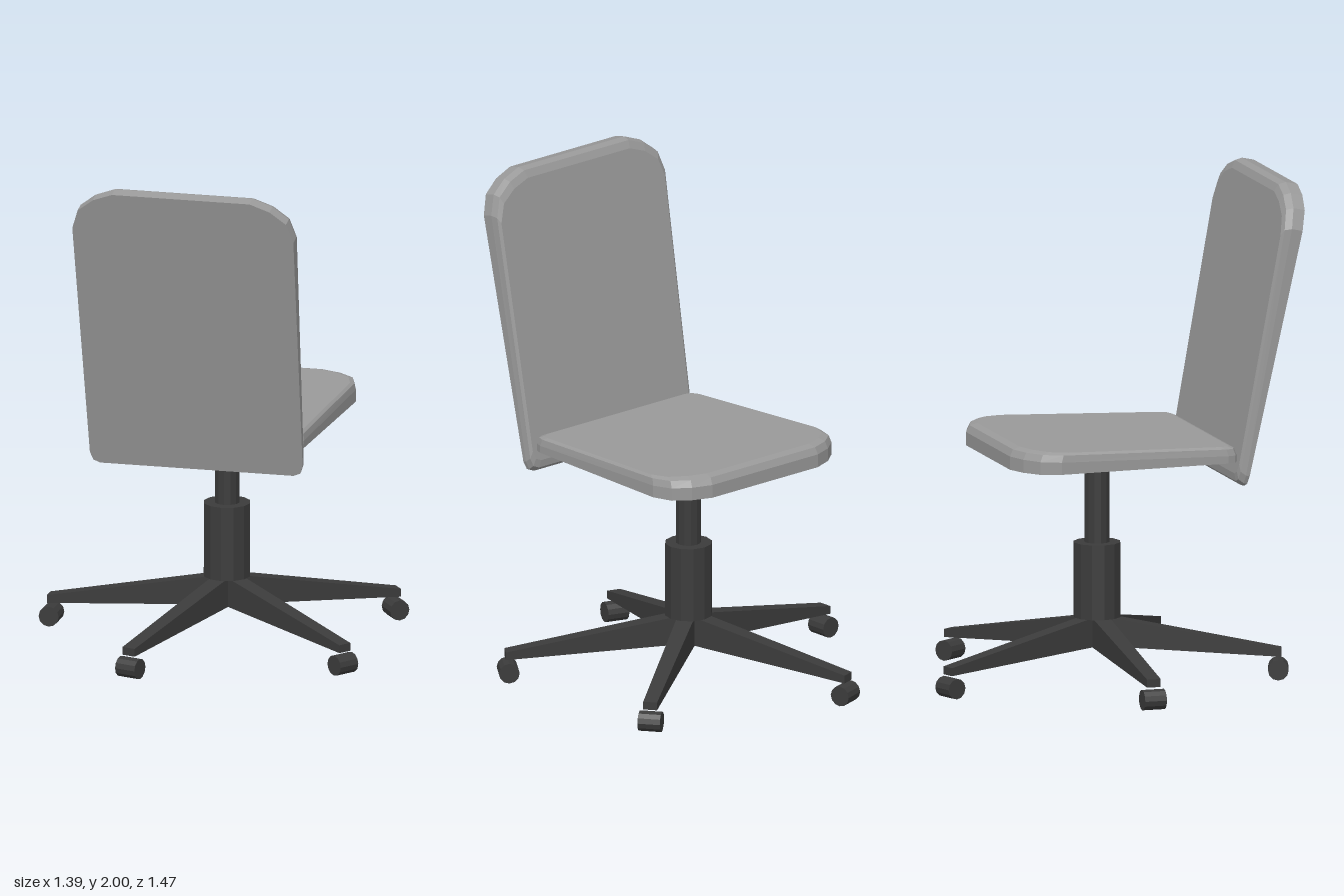
import * as THREE from 'three';

const CX = 0.055; // the whole chair sits slightly to its left
const lerp = THREE.MathUtils.lerp;

// Half outline of a cushion: tapered sides, small lower corners, large chamfered upper corners
function outline(w0, w1, L) {
  const half = [
    [w0 - 0.04, 0], [w0 - 0.012, 0.012], [w0, 0.045],
    [w1, L - 0.16], [w1 - 0.026, L - 0.08], [w1 - 0.09, L - 0.03], [w1 - 0.17, L],
  ];
  return [...half, ...half.map(([x, v]) => [-x, v]).reverse()];
}

// Cushion slab: flat underside, thin edge and a soft bevel up to a sloping top
function cushionGeometry({ w0, w1, L, edge, top, inset }) {
  const base = outline(w0, w1, L);
  const n = base.length;
  const ring = (bevel, rise) => base.map(([x, v]) => {
    const vv = lerp(inset[0] * bevel, L - inset[1] * bevel, v / L);
    const t = vv / L;
    const e = lerp(edge[0], edge[1], t);
    const h = rise < 0 ? 0 : lerp(e, lerp(top[0], top[1], t), rise);
    return [x * (1 - inset[2] * bevel / w1), vv, h];
  });
  const rings = [ring(0, -1), ring(0, 0), ring(0.3, 0.75), ring(1, 1)];
  const index = [];
  for (let r = 0; r < rings.length - 1; r++) {
    for (let i = 0; i < n; i++) {
      const j = (i + 1) % n, a = r * n, b = a + n;
      index.push(a + i, a + j, b + j, a + i, b + j, b + i);
    }
  }
  const last = (rings.length - 1) * n;
  for (let i = 1; i < n - 1; i++) {
    index.push(0, i + 1, i);
    index.push(last, last + i, last + i + 1);
  }
  const geo = new THREE.BufferGeometry();
  geo.setAttribute('position', new THREE.Float32BufferAttribute(rings.flat(2), 3));
  geo.setIndex(index);
  const flat = geo.toNonIndexed();
  flat.computeVertexNormals();
  return flat;
}

// Tapered base leg running out along +x
function legGeometry(length) {
  const geo = new THREE.BoxGeometry(1, 1, 1);
  const p = geo.attributes.position;
  for (let i = 0; i < p.count; i++) {
    const tip = p.getX(i) > 0, up = p.getY(i) > 0;
    const y = tip ? (up ? 0.124 : 0.092) : (up ? 0.261 : 0.138);
    p.setXYZ(i, tip ? length : 0, y, Math.sign(p.getZ(i)) * (tip ? 0.028 : 0.035));
  }
  geo.computeVertexNormals();
  return geo;
}

export function createModel() {
  const model = new THREE.Group();
  model.name = 'officeChair';

  const fabric = new THREE.MeshStandardMaterial({ color: 0x999999, flatShading: true });
  fabric.name = 'greyFabric';
  const plastic = new THREE.MeshStandardMaterial({ color: 0x3b3b3b, flatShading: true });
  plastic.name = 'darkPlastic';

  const add = (parent, name, geo, mat) => {
    const mesh = new THREE.Mesh(geo, mat);
    mesh.name = name;
    parent.add(mesh);
    return mesh;
  };
  const V = (x, y, z) => new THREE.Vector3(x, y, z);

  // Seat, lying flat with its rounded end towards -z
  const seat = cushionGeometry({
    w0: 0.418, w1: 0.45, L: 0.907,
    edge: [0.028, 0.053], top: [0.063, 0.09], inset: [0.03, 0.045, 0.016],
  });
  seat.applyMatrix4(new THREE.Matrix4()
    .makeBasis(V(1, 0, 0), V(0, 0, -1), V(0, 1, 0))
    .setPosition(CX, 0.912, 0.452));
  add(model, 'seat', seat, fabric);

  // Backrest, leaning out towards +z with its soft side facing the seat
  const up = V(0, 1.175, 0.258).normalize();
  const inward = V(0, up.z, -up.y);
  const back = cushionGeometry({
    w0: 0.433, w1: 0.45, L: 1.203,
    edge: [0.014, 0.05], top: [0.045, 0.088], inset: [0.04, 0.045, 0.016],
  });
  back.applyMatrix4(new THREE.Matrix4()
    .makeBasis(V(-1, 0, 0), up, inward)
    .setPosition(CX, 0.815, 0.48));
  add(model, 'backrest', back, fabric);

  // Pedestal
  const base = new THREE.Group();
  base.name = 'base';
  base.position.set(CX, 0, -0.003);
  model.add(base);
  const post = (name, r, y0, y1, sides) =>
    add(base, name, new THREE.CylinderGeometry(r, r, y1 - y0, sides).translate(0, (y0 + y1) / 2, 0), plastic);
  post('gasLift', 0.05, 0.5, 0.915, 12);
  post('column', 0.094, 0.25, 0.55, 12);
  post('hub', 0.06, 0.138, 0.26, 10);

  // Five legs, each with a castor
  const legGeo = legGeometry(0.727);
  const castorGeo = new THREE.CylinderGeometry(0.041, 0.041, 0.09, 12).rotateX(Math.PI / 2);
  for (let i = 0; i < 5; i++) {
    const arm = new THREE.Group();
    arm.name = 'legWithCastor' + (i + 1);
    arm.rotation.y = Math.PI + i * Math.PI * 2 / 5;
    base.add(arm);
    add(arm, 'leg', legGeo, plastic);
    add(arm, 'castor', castorGeo, plastic).position.set(0.715, 0.041, 0);
  }
  return model;
}
